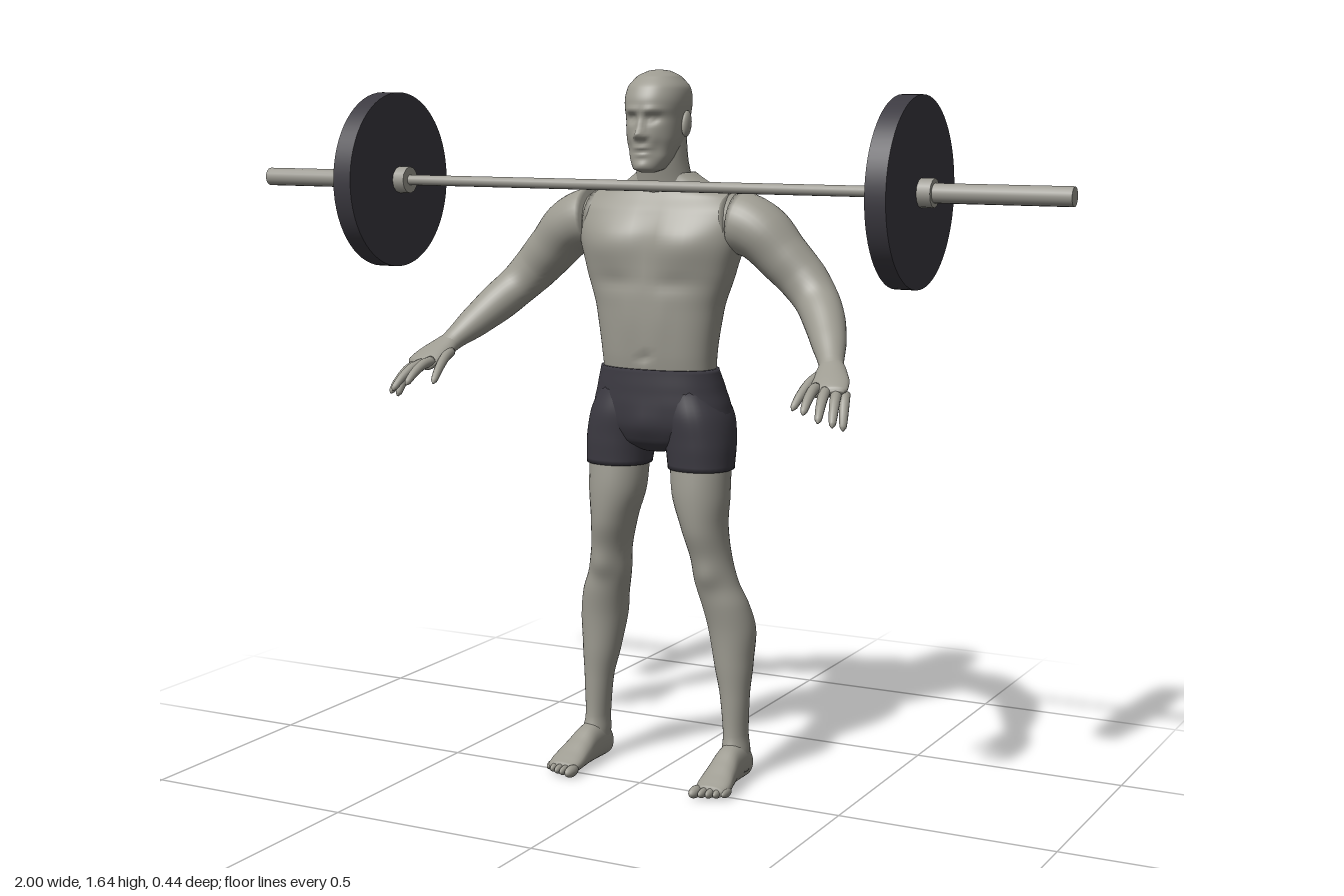
import * as THREE from 'three';

const mat = (name, color) => Object.assign(new THREE.MeshStandardMaterial({ color }), { name });
const X = new THREE.Vector3(1, 0, 0), Y = new THREE.Vector3(0, 1, 0), Z = new THREE.Vector3(0, 0, 1);

// Smooth skin through sections [x, y, z, ra, rb]; rb runs along x, ra across it.
// bumps: [|x|, y, front(1)/back(-1), sx, sy, height], soft swellings or hollows.
function loft(sections, { dir = null, sides = 28, steps = 6, e = 2, bumps = [] } = {}) {
  const path = new THREE.CatmullRomCurve3(sections.map(s => new THREE.Vector3(s[0], s[1], s[2])));
  const size = new THREE.CatmullRomCurve3(sections.map(s => new THREE.Vector3(s[3], s[4], 0)), false, 'catmullrom', 0.4);
  const rings = (sections.length - 1) * steps, pos = [], idx = [];
  const pw = v => Math.sign(v) * Math.abs(v) ** (2 / e);
  for (let i = 0; i <= rings; i++) {
    const t = i / rings, c = path.getPoint(t), r = size.getPoint(t);
    const T = dir || path.getTangent(t);
    const V = X.clone().addScaledVector(T, -X.dot(T)).normalize();
    const U = V.clone().cross(T);
    for (let j = 0; j < sides; j++) {
      const a = j / sides * Math.PI * 2;
      const o = U.clone().multiplyScalar(r.x * pw(Math.cos(a))).addScaledVector(V, r.y * pw(Math.sin(a)));
      const p = c.clone().add(o);
      let h = 0;
      for (const [bx, by, side, sx, sy, amt] of bumps) {
        const w = THREE.MathUtils.smoothstep(side * o.z / r.x, 0, 0.6);
        h += w * amt * Math.exp(-(((Math.abs(p.x) - bx) / sx) ** 2) - ((p.y - by) / sy) ** 2);
      }
      p.addScaledVector(o.normalize(), h);
      pos.push(p.x, p.y, p.z);
    }
  }
  for (let i = 0; i < rings; i++) for (let j = 0; j < sides; j++) {
    const k = (j + 1) % sides, a = i * sides + j, b = i * sides + k, c = a + sides, d = b + sides;
    idx.push(a, b, d, a, d, c);
  }
  // end caps
  const n = pos.length / 3, first = sections[0], last = sections[sections.length - 1];
  pos.push(first[0], first[1], first[2], last[0], last[1], last[2]);
  for (let j = 0; j < sides; j++) {
    const k = (j + 1) % sides;
    idx.push(n, k, j, n + 1, rings * sides + j, rings * sides + k);
  }
  const g = new THREE.BufferGeometry();
  g.setAttribute('position', new THREE.Float32BufferAttribute(pos, 3));
  g.setIndex(idx);
  g.computeVertexNormals();
  return g;
}

// Upright sections written as [y, front z, back z, half width]
const upright = list => list.map(([y, f, b, w]) => [0, y, (f + b) / 2, (f - b) / 2, w]);

export function createModel() {
  const model = new THREE.Group();
  model.name = 'weightlifter';
  const skin = mat('skin', 0x9d9b91), cloth = mat('dark cloth', 0x3c3a42);
  const iron = mat('dark iron', 0x3c3a41), steel = mat('steel', 0x9d9b93);
  const add = (name, geo, m, parent = model) => {
    const mesh = new THREE.Mesh(geo, m);
    mesh.name = name;
    parent.add(mesh);
    return mesh;
  };

  // Torso with chest, belly, shoulder blades and spine hollow
  add('torso', loft(upright([
    [0.94, -0.028, -0.18, 0.135], [1.0, -0.02, -0.178, 0.139], [1.1, -0.016, -0.186, 0.154],
    [1.19, -0.014, -0.198, 0.182], [1.27, -0.018, -0.21, 0.205], [1.325, -0.04, -0.21, 0.215],
    [1.36, -0.062, -0.205, 0.185], [1.385, -0.075, -0.195, 0.105], [1.41, -0.075, -0.185, 0.068],
  ]), { dir: Y, sides: 64, steps: 8, e: 2.4, bumps: [
    [0.085, 1.25, 1, 0.065, 0.05, 0.014], [0, 1.24, 1, 0.012, 0.08, -0.007],
    [0.08, 1.165, 1, 0.06, 0.02, -0.006], [0.035, 1.09, 1, 0.025, 0.08, 0.005],
    [0, 0.995, 1, 0.009, 0.01, -0.008], [0, 1.16, -1, 0.022, 0.17, -0.014],
    [0.09, 1.29, -1, 0.05, 0.07, 0.013], [0.06, 1.06, -1, 0.03, 0.08, 0.004],
  ] }), skin);

  // Neck
  add('neck', loft(upright([
    [1.34, -0.07, -0.19, 0.08], [1.39, -0.062, -0.182, 0.066], [1.44, -0.052, -0.17, 0.059], [1.5, -0.05, -0.165, 0.056],
  ]), { dir: Y }), skin);

  // Head with brow, eye hollows, nose, lips and chin
  add('head', loft(upright([
    [1.412, -0.025, -0.06, 0.015], [1.42, -0.008, -0.085, 0.034], [1.45, -0.006, -0.12, 0.05],
    [1.49, -0.003, -0.155, 0.061], [1.53, -0.004, -0.177, 0.066], [1.57, -0.002, -0.184, 0.07],
    [1.6, -0.014, -0.177, 0.066], [1.625, -0.04, -0.15, 0.047], [1.637, -0.07, -0.122, 0.024], [1.64, -0.09, -0.1, 0.005],
  ]), { dir: Y, sides: 72, steps: 8, e: 2.15, bumps: [
    [0, 1.497, 1, 0.011, 0.011, 0.016], [0, 1.515, 1, 0.008, 0.02, 0.009], [0.011, 1.492, 1, 0.007, 0.006, 0.005],
    [0.026, 1.532, 1, 0.015, 0.01, -0.011], [0.025, 1.531, 1, 0.007, 0.005, 0.005],
    [0.022, 1.551, 1, 0.022, 0.008, 0.005], [0, 1.467, 1, 0.018, 0.005, 0.005],
    [0, 1.459, 1, 0.018, 0.002, -0.003], [0, 1.452, 1, 0.016, 0.005, 0.004],
    [0, 1.427, 1, 0.018, 0.011, 0.006], [0.036, 1.47, 1, 0.012, 0.02, -0.004],
  ] }), skin);

  // Shorts: seat and hips
  add('shortsHips', loft(upright([
    [0.775, -0.06, -0.15, 0.04], [0.8, -0.033, -0.185, 0.125], [0.84, -0.018, -0.208, 0.169], [0.88, -0.014, -0.212, 0.167],
    [0.92, -0.014, -0.203, 0.156], [0.968, -0.015, -0.186, 0.143],
  ]), { dir: Y, sides: 48, e: 2.25, bumps: [
    [0, 0.86, -1, 0.015, 0.06, -0.022], [0.075, 0.87, -1, 0.05, 0.05, 0.007], [0, 0.84, 1, 0.03, 0.035, 0.006],
  ] }), cloth);

  for (const s of [1, -1]) {
    const side = new THREE.Group();
    side.name = s > 0 ? 'leftLimbs' : 'rightLimbs';
    model.add(side);
    const limb = (name, list, m, opt) => add(name, loft(list.map(([x, ...r]) => [s * x, ...r]), opt), m, side);
    const ball = (name, x, y, z, rx, ry, rz) => {
      const b = add(name, new THREE.SphereGeometry(1, 16, 12), skin, side);
      b.position.set(s * x, y, z);
      b.scale.set(rx, ry, rz);
      return b;
    };

    // Ear
    ball('ear', 0.07, 1.52, -0.093, 0.009, 0.03, 0.018).rotation.x = -0.2;

    // Shorts leg
    limb('shortsLeg', [
      [0.106, 0.738, -0.102, 0.074, 0.076], [0.102, 0.8, -0.108, 0.085, 0.08],
      [0.092, 0.86, -0.114, 0.094, 0.08], [0.078, 0.92, -0.108, 0.08, 0.065],
    ], cloth, { dir: Y, e: 2.15 });

    // Leg, ankle up to thigh
    limb('leg', [
      [0.187, 0.025, -0.125, 0.045, 0.03], [0.185, 0.07, -0.132, 0.044, 0.031], [0.183, 0.11, -0.135, 0.038, 0.028],
      [0.18, 0.2, -0.135, 0.039, 0.034], [0.174, 0.28, -0.14, 0.049, 0.046], [0.168, 0.36, -0.142, 0.056, 0.056],
      [0.156, 0.42, -0.129, 0.053, 0.056], [0.14, 0.47, -0.118, 0.049, 0.052], [0.13, 0.53, -0.108, 0.055, 0.047],
      [0.118, 0.6, -0.098, 0.066, 0.052], [0.108, 0.68, -0.098, 0.072, 0.067], [0.105, 0.77, -0.102, 0.07, 0.072],
    ], skin, { dir: Y, sides: 32, bumps: [[0.138, 0.49, 1, 0.025, 0.03, 0.008], [0.15, 0.38, -1, 0.025, 0.06, 0.004]] });

    // Foot and toes
    limb('foot', [
      [0.186, 0.032, -0.178, 0.014, 0.012], [0.186, 0.036, -0.165, 0.034, 0.028], [0.186, 0.047, -0.13, 0.046, 0.032],
      [0.187, 0.045, -0.085, 0.044, 0.032], [0.19, 0.033, -0.04, 0.032, 0.037],
      [0.193, 0.022, 0.0, 0.021, 0.041], [0.193, 0.016, 0.03, 0.012, 0.036],
    ], skin, { dir: Z, e: 2.3 });
    for (let i = 0; i < 5; i++)
      ball('toe', 0.162 + i * 0.0158 + (i ? 0.003 : 0), 0.014, 0.036 - i * i * 0.0016,
        i ? 0.0085 : 0.0125, i ? 0.011 : 0.014, i ? 0.023 : 0.026);

    // Arm, shoulder to wrist
    limb('arm', [
      [0.14, 1.29, -0.125, 0.05, 0.055], [0.185, 1.3, -0.125, 0.074, 0.07], [0.24, 1.281, -0.125, 0.073, 0.067],
      [0.295, 1.228, -0.127, 0.059, 0.06], [0.343, 1.18, -0.128, 0.052, 0.055], [0.382, 1.138, -0.112, 0.046, 0.05],
      [0.415, 1.1, -0.078, 0.045, 0.047], [0.45, 1.055, -0.025, 0.036, 0.039], [0.477, 1.018, 0.025, 0.024, 0.028],
      [0.486, 1.004, 0.045, 0.021, 0.028],
    ], skin, { sides: 32 });

    // Hand and fingers, each with a slight curl
    limb('palm', [
      [0.48, 1.014, 0.03, 0.021, 0.026], [0.49, 1.0, 0.055, 0.02, 0.034], [0.502, 0.982, 0.09, 0.018, 0.042],
      [0.511, 0.968, 0.118, 0.014, 0.04], [0.514, 0.963, 0.126, 0.007, 0.032],
    ], skin);
    const fingers = [
      ['thumb', 0.465, 0.992, 0.062, 0.448, 0.93, 0.165], ['indexFinger', 0.482, 0.975, 0.118, 0.492, 0.93, 0.21],
      ['middleFinger', 0.505, 0.969, 0.122, 0.527, 0.915, 0.213], ['ringFinger', 0.527, 0.963, 0.115, 0.549, 0.904, 0.188],
      ['littleFinger', 0.54, 0.962, 0.098, 0.557, 0.892, 0.148],
    ];
    for (const [name, x, y, z, u, v, w] of fingers) {
      const at = (t, r) => [x + (u - x) * t, y + (v - y) * t + 0.045 * t * (1 - t), z + (w - z) * t, r, r];
      limb(name, [at(0, 0.012), at(0.35, 0.0115), at(0.7, 0.01), at(0.93, 0.0075), at(1, 0.002)], skin, { sides: 12, steps: 4 });
    }
  }

  // Barbell
  const barbell = new THREE.Group();
  barbell.name = 'barbell';
  barbell.position.set(0, 1.385, 0.02);
  model.add(barbell);
  const rod = (name, x0, x1, r, m, sides) => {
    const g = new THREE.CylinderGeometry(r, r, Math.abs(x1 - x0), sides);
    g.rotateZ(-Math.PI / 2);
    add(name, g, m, barbell).position.x = (x0 + x1) / 2;
  };
  rod('bar', -0.61, 0.61, 0.012, steel, 16);
  for (const s of [1, -1]) {
    rod('sleeve', s * 0.6, s, 0.021, steel, 16);
    rod('innerCollar', s * 0.597, s * 0.626, 0.031, steel, 12);
    rod('plate', s * 0.626, s * 0.672, 0.203, iron, 64);
    rod('outerCollar', s * 0.672, s * 0.702, 0.031, steel, 12);
  }
  return model;
}
